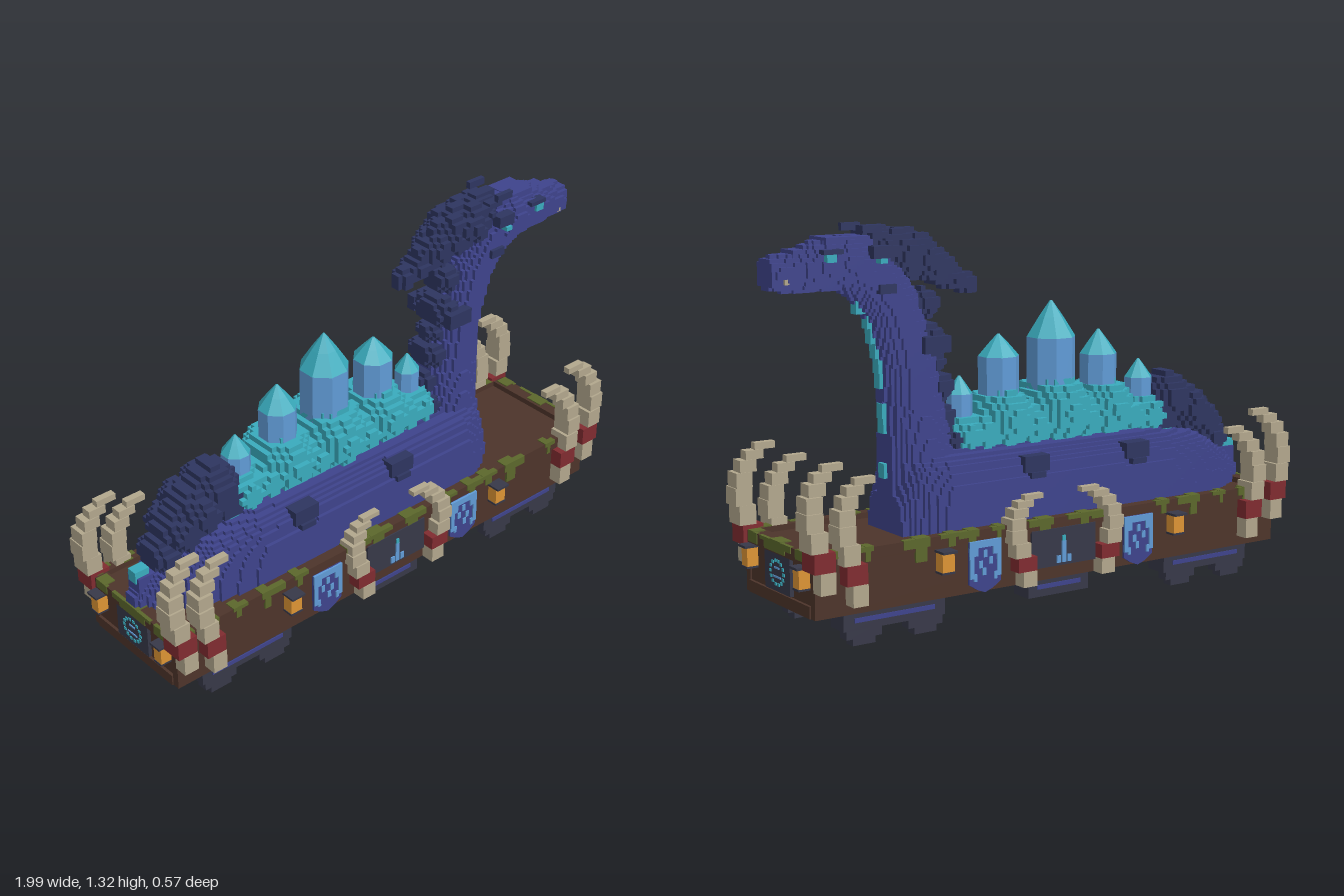
import * as THREE from 'three';

const mat = (name, color) => Object.assign(new THREE.MeshStandardMaterial({ color }), { name });
const M = {
  hide: mat('indigo hide', 0x3e438c), mane: mat('dark mane', 0x2e3560),
  teal: mat('teal crystal', 0x39abbd), sky: mat('light blue crystal', 0x609bd6),
  ivory: mat('ivory', 0xb2a78d), wood: mat('brown wood', 0x4d342a),
  moss: mat('green moss', 0x5b672b), iron: mat('dark iron', 0x373848),
  red: mat('red binding', 0x802b30), glow: mat('lantern orange', 0xdd9434),
};

// Box between two corners (any order)
function box(parent, name, m, x0, x1, y0, y1, z0, z1) {
  const g = new THREE.BoxGeometry(Math.abs(x1 - x0), Math.abs(y1 - y0), Math.abs(z1 - z0));
  const mesh = new THREE.Mesh(g, m);
  mesh.position.set((x0 + x1) / 2, (y0 + y1) / 2, (z0 + z1) / 2);
  mesh.name = name;
  parent.add(mesh);
}

// Stepped-block solid: visible cell faces of the volume where inside(x, y, z) holds
function blocks(parent, name, m, [x0, x1, y0, y1, w], s, inside) {
  const nx = Math.ceil((x1 - x0) / s), ny = Math.ceil((y1 - y0) / s), h = Math.ceil(w / s), nz = 2 * h;
  const cells = new Uint8Array(nx * ny * nz);
  const id = (i, j, k) => (i * ny + j) * nz + k;
  for (let i = 0; i < nx; i++) for (let j = 0; j < ny; j++) for (let k = 0; k < nz; k++)
    cells[id(i, j, k)] = inside(x0 + (i + .5) * s, y0 + (j + .5) * s, (k - h + .5) * s) ? 1 : 0;
  const full = (c) => c[0] >= 0 && c[1] >= 0 && c[2] >= 0 && c[0] < nx && c[1] < ny && c[2] < nz && cells[id(...c)];
  const pos = [], o = [x0, y0, -h * s];
  for (let i = 0; i < nx; i++) for (let j = 0; j < ny; j++) for (let k = 0; k < nz; k++) {
    if (!cells[id(i, j, k)]) continue;
    for (let a = 0; a < 3; a++) for (const d of [-1, 1]) {
      const n = [i, j, k];
      n[a] += d;
      if (full(n)) continue;
      const u = (a + 1) % 3, v = (a + 2) % 3;
      const q = [[0, 0], [1, 0], [1, 1], [0, 1]].map(([p, r]) => {
        const c = [i, j, k];
        c[a] += d > 0 ? 1 : 0; c[u] += p; c[v] += r;
        return c.map((t, e) => o[e] + t * s);
      });
      for (const t of d > 0 ? [0, 1, 2, 0, 2, 3] : [0, 2, 1, 0, 3, 2]) pos.push(...q[t]);
    }
  }
  const g = new THREE.BufferGeometry();
  g.setAttribute('position', new THREE.Float32BufferAttribute(pos, 3));
  g.computeVertexNormals();
  const mesh = new THREE.Mesh(g, m);
  mesh.name = name;
  parent.add(mesh);
}

const lerpTable = (t, x) => {
  if (x < t[0][0] || x > t[t.length - 1][0]) return 0;
  let i = 1;
  while (x > t[i][0]) i++;
  const f = (x - t[i - 1][0]) / (t[i][0] - t[i - 1][0]);
  return t[i - 1][1] + f * (t[i][1] - t[i - 1][1]);
};
// Ellipsoids [x, y, radius, zRadius] chained along a path
function chain(pts, n = 10) {
  const b = [];
  for (let i = 1; i < pts.length; i++) for (let t = 0; t <= n; t++)
    b.push(pts[i].map((v, e) => pts[i - 1][e] + (v - pts[i - 1][e]) * t / n));
  return b;
}
const inBalls = (b, x, y, z) => b.some(([cx, cy, r, rz]) =>
  ((x - cx) ** 2 + (y - cy) ** 2) / (r * r) + z * z / (rz * rz) < 1);

function buildBeast(root) {
  const g = new THREE.Group();
  g.name = 'serpentBeast';
  root.add(g);
  // Torso, neck and head
  const width = [[-.96, .02], [-.85, .09], [-.72, .155], [-.52, .19], [.4, .192], [.47, .165], [.56, .1]];
  const top = [[-.96, .36], [-.85, .44], [-.7, .52], [-.5, .555], [.5, .56], [.56, .4]];
  const neck = chain([[.425, .35, .13, .13], [.435, .55, .125, .115], [.45, .7, .11, .09], [.475, .88, .1, .088],
    [.53, 1.05, .095, .088], [.6, 1.15, .1, .09], [.7, 1.2, .085, .1], [.8, 1.195, .078, .085],
    [.88, 1.18, .065, .065], [.96, 1.176, .055, .058]]);
  blocks(g, 'bodyNeckAndHead', M.hide, [-.97, .98, .275, 1.32, .2], .0125, (x, y, z) => {
    const w = lerpTable(width, x), h = lerpTable(top, x) - .27;
    return (w > 0 && (Math.abs(z) / w) ** 4 + ((y - .27) / h) ** 4 < 1) || inBalls(neck, x, y, z);
  });
  box(g, 'headCrest', M.hide, .62, .79, 1.255, 1.285, -.055, .055);
  box(g, 'snoutBridge', M.hide, .79, .9, 1.22, 1.25, -.04, .04);
  // Swept-back mane and lumps down the neck
  const mane = chain([[.6, 1.265, .04, .06], [.54, 1.235, .07, .1], [.46, 1.22, .08, .095],
    [.37, 1.175, .06, .07], [.3, 1.135, .045, .05], [.23, 1.1, .035, .035]]);
  blocks(g, 'mane', M.mane, [.18, .66, 1.04, 1.32, .12], .0175, (x, y, z) => {
    const r = .9 + .25 * Math.sin(x * 55 + y * 30) * Math.cos(z * 70);
    return mane.some(([cx, cy, a, b]) => ((x - cx) ** 2 + (y - cy) ** 2) / (a * a) + z * z / (b * b) < r);
  });
  box(g, 'maneTuft', M.mane, .55, .64, 1.28, 1.315, -.02, .02);
  const ridge = [[.4, .93, .055, .105], [.41, 1.05, .05, .07], [.37, .85, .04, .05], [.355, .77, .05, .07],
    [.335, .66, .045, .06], [.32, .59, .045, .09]];
  blocks(g, 'neckRidge', M.mane, [.26, .48, .53, 1.12, .12], .0175, (x, y, z) => inBalls(ridge, x, y, z));
  // Hairy tail hump and glowing tail tip
  const hump = [[-.62, .645, .09, .1], [-.7, .6, .08, .125], [-.77, .55, .07, .11], [-.83, .48, .06, .08], [-.58, .58, .08, .09]];
  blocks(g, 'tailHump', M.mane, [-.92, -.5, .4, .76, .15], .02, (x, y, z) => inBalls(hump, x, y, z));
  box(g, 'tailEnd', M.hide, -.94, -.86, .34, .43, -.03, .03);
  box(g, 'tailTip', M.teal, -.945, -.89, .41, .455, -.02, .02);
  // Throat stripe in separated plates following the neck front
  for (let i = 0; i < 12; i++) {
    if (i === 1 || i === 2 || i === 5) continue;
    const y = .48 + i * .05;
    let x = .54;
    for (let t = .5; t < .8; t += .004) if (inBalls(neck, t, y + .025, 0)) x = t;
    box(g, 'throatStripe', M.teal, x - .035, x + .012, y, y + .05, -.018, .018);
  }
  for (const s of [-1, 1]) {
    box(g, 'eye', M.teal, .775, .81, 1.21, 1.235, s * .07, s * .097);
    box(g, 'brow', M.mane, .75, .82, 1.235, 1.25, s * .06, s * .096);
    box(g, 'cheekTuft', M.mane, .56, .62, 1.1, 1.13, s * .075, s * .1);
    box(g, 'earTuft', M.mane, .58, .65, 1.215, 1.255, s * .075, s * .112);
    box(g, 'ear', M.teal, .605, .63, 1.2, 1.215, s * .09, s * .122);
    box(g, 'fang', M.ivory, .925, .94, 1.145, 1.165, s * .045, s * .06);
    box(g, 'neckLump', M.mane, .36, .46, .895, .95, s * .075, s * .11);
    box(g, 'hornBase', M.mane, .57, .63, 1.275, 1.295, s * .035, s * .07);
    box(g, 'hornTip', M.mane, .6, .67, 1.295, 1.32, s * .06, s * .078);
    for (const x of [-.36, .07]) {
      box(g, 'flankLump', M.mane, x - .05, x + .05, .475, .53, s * .13, s * .19);
      box(g, 'flankLumpLow', M.mane, x - .03, x + .03, .455, .475, s * .13, s * .2);
    }
  }
  // Crystal cluster on the back: octagonal columns with pointed tips
  const spires = [[-.505, .047, .725, .79], [-.325, .062, .825, .91], [-.12, .08, .9, 1.025], [.1, .066, .85, .925], [.26, .042, .735, .795]];
  for (const [x, r, shoulder, tip] of spires) {
    const R = r / Math.cos(Math.PI / 8);
    const prism = (name, m, r0, r1, y0, y1) => {
      const geo = new THREE.CylinderGeometry(r1, r0, y1 - y0, 8).rotateY(Math.PI / 8).toNonIndexed();
      geo.computeVertexNormals();
      const mesh = new THREE.Mesh(geo, m);
      mesh.position.set(x, (y0 + y1) / 2, 0);
      mesh.name = name;
      g.add(mesh);
    };
    prism('crystalColumn', M.sky, R, R, .58, shoulder);
    prism('crystalTipBase', M.teal, R, R * .5, shoulder, shoulder + (tip - shoulder) * .55);
    prism('crystalTip', M.teal, R * .5, .004, shoulder + (tip - shoulder) * .55, tip);
  }
  const lumps = [[-.51, .59, .08, .105], [-.58, .55, .045, .09], [-.42, .6, .06, .11], [-.33, .635, .105, .135], [-.225, .61, .08, .12],
    [-.12, .65, .12, .155], [0, .61, .08, .12], [.1, .64, .105, .14], [.2, .6, .07, .11], [.27, .6, .07, .1]];
  blocks(g, 'crystalMound', M.teal, [-.64, .36, .52, .78, .17], .02, (x, y, z) =>
    lumps.some(([cx, cy, r, rz]) => Math.hypot((x - cx) / r, (y - cy) / r, z / rz) < 1
      && Math.abs(x - cx) / r + Math.abs(y - cy) / r < 1.4));
}

function buildWagon(root) {
  const g = new THREE.Group();
  g.name = 'wagon';
  root.add(g);
  let seed = 7;
  const rnd = () => (seed = (seed * 16807) % 2147483647) / 2147483647;
  // Moss patches on the long rims: [x0, x1, bottom]
  const patches = [[-.95, -.88, .3], [-.84, -.78, .27], [-.72, -.66, .3], [-.6, -.5, .275], [-.46, -.4, .295], [-.23, -.12, .275],
    [-.12, -.02, .295], [.04, .14, .28], [.24, .29, .3], [.34, .42, .28], [.42, .49, .3], [.53, .63, .265], [.74, .79, .295], [.87, .95, .28]];
  // Open-bottomed tray
  box(g, 'deck', M.wood, -.93, .93, .285, .3, -.21, .21);
  for (const s of [-1, 1]) {
    box(g, 'sideWall', M.wood, -.95, .95, .11, .32, s * .205, s * .232);
    box(g, 'sideRim', M.wood, -.96, .96, .28, .32, s * .2, s * .238);
    box(g, 'endWall', M.wood, s * .915, s * .945, .11, .32, -.205, .205);
    box(g, 'endRim', M.wood, s * .91, s * .96, .28, .32, -.2, .2);
    box(g, 'endSill', M.wood, s * .945, s * .955, .11, .15, -.205, .205);
    // Moss hanging over the rims
    for (const [x0, x1, y] of patches) {
      const mid = x0 + (x1 - x0) * (.35 + .3 * rnd());
      box(g, 'mossFace', M.moss, x0, x1, (y + .32) / 2, .32, s * .232, s * .242);
      box(g, 'mossDrip', M.moss, x0 + .012, mid, y - .02, .31, s * .232, s * .241);
      box(g, 'mossTop', M.moss, x0, mid, .315, .324, s * .2, s * .242);
      box(g, 'mossTopEdge', M.moss, mid, x1, .315, .323, s * .22, s * .242);
    }
    for (const [z0, z1, y] of [[-.19, -.13, .29], [-.1, -.06, .3], [-.06, .08, .285], [.08, .11, .31], [.13, .19, .285]])
      box(g, 'endMoss', M.moss, s * .95, s * .963, y, .322, z0, z1);
    for (const [z0, z1] of [[-.19, -.14], [-.03, .04], [.15, .19]])
      box(g, 'endMossTop', M.moss, s * .92, s * .963, .316, .324, z0, z1);
    // End plaque with a ring of glowing studs
    box(g, 'endPlaque', M.iron, s * .94, s * .958, .155, .283, -.085, .085);
    for (let i = 0; i < 14; i++) {
      const a = i / 14 * Math.PI * 2, y = .218 + .04 * Math.sin(a), z = .045 * Math.cos(a);
      box(g, 'endStud', M.teal, s * .955, s * .961, y - .005, y + .005, z - .006, z + .006);
    }
    box(g, 'endGlyph', M.sky, s * .955, s * .961, .2, .206, -.025, .025);
    box(g, 'endGlyphDot', M.sky, s * .955, s * .961, .23, .236, -.015, .015);
    // Side plaque with a small crystal
    box(g, 'sidePlaque', M.iron, -.135, .13, .155, .285, s * .22, s * .243);
    for (const [x, y] of [[-.022, .19], [0, .24], [.022, .19]])
      box(g, 'plaqueCrystal', M.sky, x - .008, x + .008, .165, y, s * .24, s * .248);
    box(g, 'plaqueGem', M.teal, -.006, .006, .24, .258, s * .24, s * .248);
    // Running gear
    box(g, 'centreBox', M.iron, -.125, .125, .048, .112, s * .13, s * .215);
    box(g, 'centreBoxStripe', M.hide, -.09, .09, .075, .09, s * .21, s * .219);
    for (const c of [-1, 1]) {
      const x = c * .65;
      box(g, 'bogie', M.iron, x - .19, x + .19, .05, .112, s * .13, s * .215);
      box(g, 'bogieStripe', M.hide, x - .15, x + .15, .075, .09, s * .21, s * .219);
      for (const d of [-.115, .115]) [[.065, .022, .06], [.042, 0, .03]].forEach(([w, y0, y1]) =>
        box(g, 'wheel', M.iron, x + d - w, x + d + w, y0, y1, s * .175, s * .215));
      // Hanging shield banner with a pale frame and speckles
      const bx = c * .32, w = .062;
      const shield = new THREE.Shape([[-w, .285], [-w, .14], [-w * .5, .12], [0, .108], [w * .5, .12], [w, .14], [w, .285]]
        .map((p) => new THREE.Vector2(...p)));
      const banner = new THREE.Mesh(new THREE.ExtrudeGeometry(shield, { depth: .009, bevelEnabled: false }), M.hide);
      banner.position.set(bx, 0, s > 0 ? .235 : -.244);
      banner.name = 'banner';
      g.add(banner);
      box(g, 'bannerTop', M.sky, bx - w, bx + w, .262, .285, s * .24, s * .249);
      for (const e of [-1, 1]) {
        box(g, 'bannerEdge', M.sky, bx + e * .046, bx + e * w, .16, .264, s * .24, s * .249);
        box(g, 'bannerCorner', M.sky, bx + e * .03, bx + e * .047, .235, .264, s * .24, s * .249);
        box(g, 'bannerFoot', M.sky, bx + e * .034, bx + e * .046, .15, .175, s * .24, s * .249);
      }
      for (const [dx, y] of [[-.022, .215], [.018, .205], [0, .24], [.005, .18]])
        box(g, 'bannerMark', M.sky, bx + dx - .007, bx + dx + .007, y - .012, y + .012, s * .24, s * .248);
      // Lanterns on the sides and ends
      const sx = c * .48;
      box(g, 'sideLantern', M.glow, sx - .023, sx + .023, .205, .268, s * .232, s * .272);
      box(g, 'sideLanternCap', M.iron, sx - .028, sx + .028, .268, .276, s * .232, s * .285);
      box(g, 'sideLanternBase', M.iron, sx - .025, sx + .025, .198, .205, s * .232, s * .274);
      box(g, 'endLantern', M.glow, c * .945, c * .985, .207, .27, s * .156, s * .195);
      box(g, 'endLanternCap', M.iron, c * .945, c * .995, .27, .278, s * .15, s * .2);
      box(g, 'endLanternBase', M.iron, c * .945, c * .987, .2, .207, s * .156, s * .195);
    }
  }
}

// Curved tusks built from stacked blocks: [x0, x1, y0, y1, z0, z1, bound]
function buildTusks(root) {
  const parts = [[.9, .955, .2, .27, .232, .282], [.9, .975, .27, .335, .2, .28, 1], [.925, .985, .335, .4, .202, .28],
    [.937, .997, .4, .46, .203, .275], [.935, .993, .46, .51, .203, .268], [.918, .978, .51, .55, .205, .257],
    [.89, .955, .55, .58, .208, .247], [.845, .92, .58, .603, .212, .238]];
  const spots = [['outerTusk', 0, 0, 1], ['innerTusk', -.115, -.055, 1], ['middleTusk', -.765, -.09, .75]];
  for (const [name, dx, dy, k] of spots) for (const sx of [-1, 1]) for (const sz of [-1, 1]) {
    const g = new THREE.Group();
    g.name = name;
    root.add(g);
    for (const [x0, x1, y0, y1, z0, z1, bound] of parts)
      box(g, bound ? 'tuskBinding' : 'tuskSegment', bound ? M.red : M.ivory, sx * (x0 + dx), sx * (x1 + dx),
        .2 + dy + (y0 - .2) * k, .2 + dy + (y1 - .2) * k, sz * z0, sz * z1);
  }
}

export function createModel() {
  const root = new THREE.Group();
  root.name = 'serpentWagon';
  buildWagon(root);
  buildTusks(root);
  buildBeast(root);
  return root;
}
